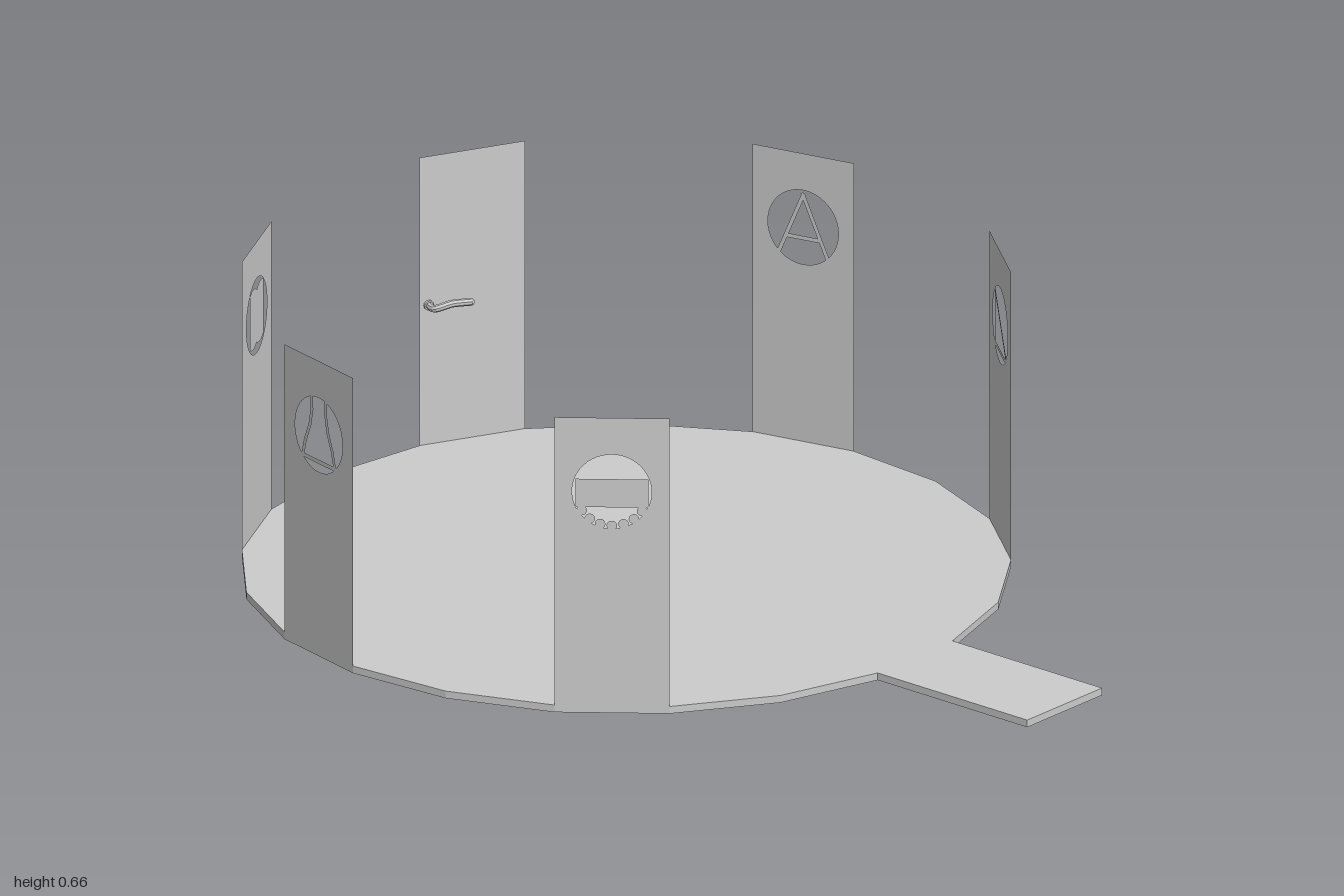
import * as THREE from 'three';

const SIDES = 21, R = 0.803, CX = -0.2, CZ = 0.004;
const FLOOR = 0.016, TOP = 0.66, HOLE_Y = 0.495, HOLE_R = 0.083;
const STEP = (Math.PI * 2) / SIDES;
const WIDTH = 2 * R * Math.sin(STEP / 2);
const APOTHEM = R * Math.cos(STEP / 2);

const solid = new THREE.MeshStandardMaterial({ color: 0xcccccc, flatShading: true });
const thin = new THREE.MeshStandardMaterial({ color: 0xcccccc, side: THREE.DoubleSide });

function mesh(name, geometry, material) {
  const m = new THREE.Mesh(geometry, material);
  m.name = name;
  return m;
}

const polygon = (pts) => new THREE.Shape(pts.map(([x, y]) => new THREE.Vector2(x, y)));

function disc(x, y, r) {
  const s = new THREE.Shape();
  s.absarc(x, y, r, 0, Math.PI * 2, false);
  return s;
}

// Straight strips following a chain of points
function strips(pts, w = 0.009) {
  return pts.slice(1).map(([x2, y2], i) => {
    const [x1, y1] = pts[i];
    const len = Math.hypot(x2 - x1, y2 - y1);
    const ux = ((x2 - x1) / len) * w / 2, uy = ((y2 - y1) / len) * w / 2;
    return polygon([
      [x1 - ux - uy, y1 - uy + ux], [x1 - ux + uy, y1 - uy - ux],
      [x2 + ux + uy, y2 + uy - ux], [x2 + ux - uy, y2 + uy + ux],
    ]);
  });
}

// Cut-out symbols, drawn around the centre of the round opening
function compass() {
  return [
    ...strips([[-0.058, -0.064], [0, 0.072], [0.058, -0.064]]),
    ...strips([[-0.04, -0.024], [0.04, -0.024]]),
  ];
}

function flask() {
  const side = [[-0.024, 0.08], [-0.024, 0.05], [-0.031, 0.015], [-0.047, -0.025], [-0.056, -0.06]];
  return [
    ...strips(side),
    ...strips(side.map(([x, y]) => [-x, y])),
    ...strips([[-0.056, -0.06], [0.056, -0.06]]),
  ];
}

function setSquare() {
  return strips([[0.064, 0.066], [-0.07, -0.06], [0.055, -0.06], [0.055, 0.056]]);
}

function book() {
  const s = new THREE.Shape();
  s.moveTo(-0.056, -0.058);
  s.quadraticCurveTo(-0.03, -0.074, 0, -0.06);
  s.quadraticCurveTo(0.03, -0.074, 0.056, -0.058);
  s.lineTo(0.056, 0.06);
  s.quadraticCurveTo(0.03, 0.078, 0, 0.058);
  s.quadraticCurveTo(-0.03, 0.078, -0.056, 0.06);
  return [s];
}

function beadedBand() {
  const shapes = [polygon([[-0.076, -0.035], [0.076, -0.035], [0.076, 0.028], [-0.076, 0.028]])];
  for (let i = 0; i < 7; i++) {
    const a = Math.PI * (1.19 + (0.62 * i) / 6);
    shapes.push(disc(Math.cos(a) * 0.076, Math.sin(a) * 0.076, 0.011));
  }
  return shapes;
}

// Panel standing on one edge of the floor; local +z points outwards
function panel(name, edge, symbol) {
  const group = new THREE.Group();
  group.name = name;
  const a = (edge + 0.5) * STEP;
  group.position.set(CX + Math.sin(a) * APOTHEM, 0, CZ - Math.cos(a) * APOTHEM);
  group.rotation.y = Math.PI - a;
  const w = WIDTH / 2;
  const outline = polygon([[-w, FLOOR], [w, FLOOR], [w, TOP], [-w, TOP]]);
  if (symbol) {
    outline.holes.push(disc(0, HOLE_Y, HOLE_R));
    const sign = mesh(name + 'Symbol', new THREE.ShapeGeometry(symbol(), 8), thin);
    sign.position.y = HOLE_Y;
    group.add(sign);
  }
  group.add(mesh(name + 'Board', new THREE.ShapeGeometry(outline, 24), thin));
  return group;
}

// Gently arched lever on a short stem, on the inner side of the door
function doorHandle() {
  const curve = new THREE.CatmullRomCurve3([
    [0.1, 0.328, 0], [0.1, 0.328, -0.026], [0.092, 0.331, -0.033],
    [0.06, 0.336, -0.033], [0.016, 0.332, -0.03],
  ].map((p) => new THREE.Vector3(...p)), false, 'catmullrom', 0.3);
  const group = new THREE.Group();
  group.name = 'doorHandle';
  group.add(mesh('lever', new THREE.TubeGeometry(curve, 20, 0.008, 8), solid));
  const end = mesh('leverEnd', new THREE.SphereGeometry(0.008, 8, 6), solid);
  end.position.set(0.016, 0.332, -0.03);
  const rose = mesh('rose', new THREE.CylinderGeometry(0.011, 0.011, 0.006, 12), solid);
  rose.rotation.x = Math.PI / 2;
  rose.position.set(0.1, 0.328, -0.004);
  group.add(end, rose);
  return group;
}

export function createModel() {
  const model = new THREE.Group();
  model.name = 'roundPavilion';

  // Floor with an entrance walkway running out from edge 4
  const outline = [];
  const walk = 4, reach = 0.41, wa = (walk + 0.5) * STEP;
  for (let k = 0; k < SIDES; k++) {
    const p = [CX + R * Math.sin(k * STEP), R * Math.cos(k * STEP) - CZ];
    const far = [p[0] + Math.sin(wa) * reach, p[1] + Math.cos(wa) * reach];
    if (k === walk) outline.push(p, far);
    else if (k === walk + 1) outline.push(far, p);
    else outline.push(p);
  }
  const floor = new THREE.ExtrudeGeometry(polygon(outline), { depth: FLOOR, bevelEnabled: false });
  floor.rotateX(-Math.PI / 2);
  model.add(mesh('floor', floor, solid));

  // Panels on every third edge, except the entrance
  model.add(
    panel('backLeftPanel', 1, setSquare),
    panel('frontLeftPanel', 7, beadedBand),
    panel('frontPanel', 10, flask),
    panel('frontRightPanel', 13, book),
    panel('backRightPanel', 19, compass),
  );
  const door = panel('door', 16, null);
  door.add(doorHandle());
  model.add(door);
  return model;
}
